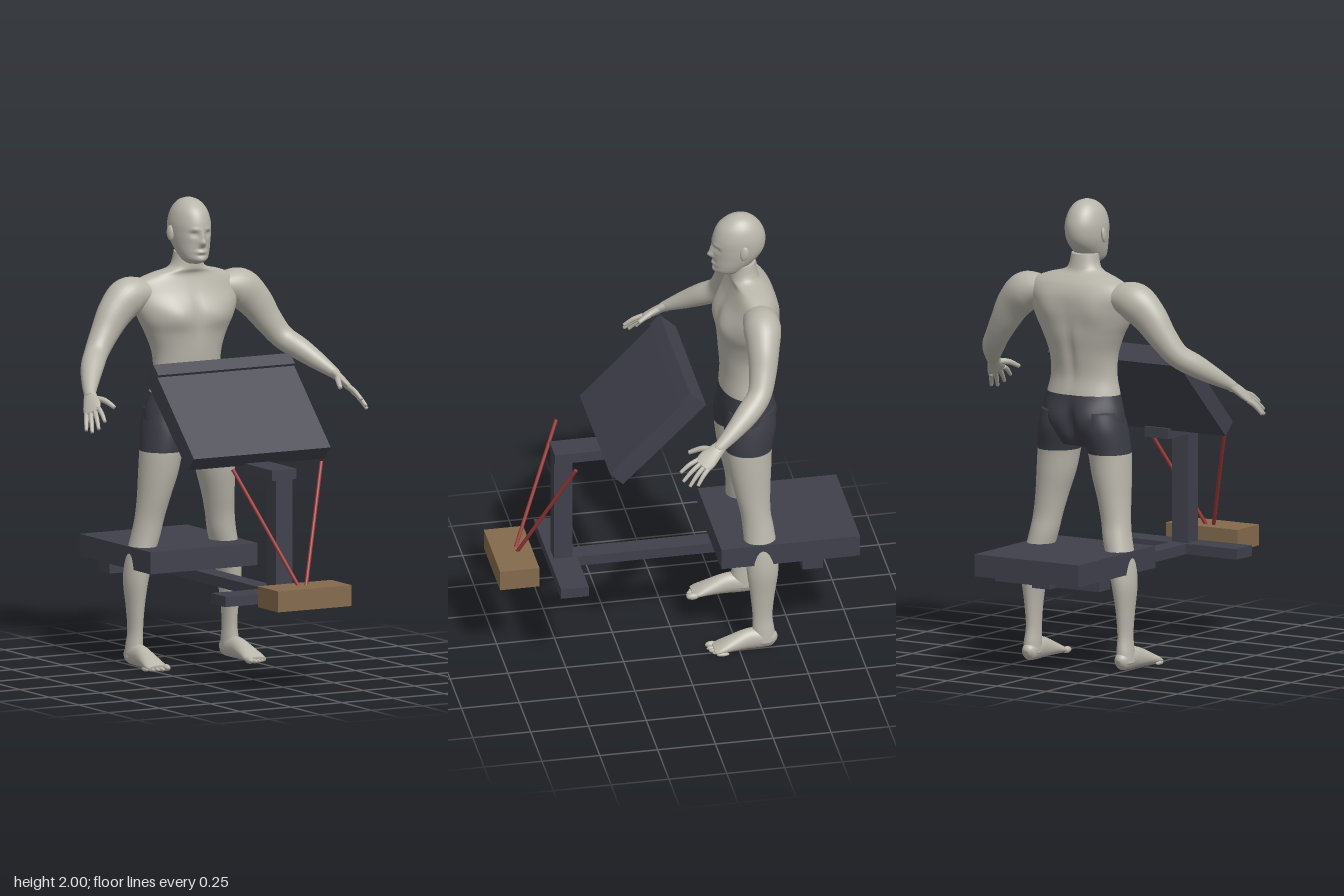
import * as THREE from 'three';

const mat = (name, color, extra = {}) => Object.assign(new THREE.MeshStandardMaterial({ color, ...extra }), { name });

// Smooth interpolation between the rows of a section table
function smoothRows(rows, sub) {
  const out = [];
  const at = (i) => rows[Math.min(Math.max(i, 0), rows.length - 1)];
  for (let i = 0; i < rows.length - 1; i++) {
    for (let k = 0; k < sub; k++) {
      const t = k / sub;
      out.push(rows[i].map((p1, c) => {
        const p0 = at(i - 1)[c], p2 = at(i + 1)[c], p3 = at(i + 2)[c];
        return p1 + 0.5 * t * (p2 - p0 + t * (2 * p0 - 5 * p1 + 4 * p2 - p3 + t * (3 * (p1 - p2) + p3 - p0)));
      }));
    }
  }
  out.push(rows[rows.length - 1]);
  return out;
}

// Skin through elliptical sections [x, y, z, radiusA, radiusB]; radiusA lies along ref.
// Bumps [x, y, widthX, widthY, depth, side] push the front (1) or back (-1) along z.
function loft(rows, { seg = 32, sub = 6, ref = [1, 0, 0], upright = false, bumps = [], inShorts } = {}) {
  const rings = smoothRows(rows, sub), pos = [], idx = [];
  const centre = rings.map((r) => new THREE.Vector3(r[0], r[1], r[2]));
  const refV = new THREE.Vector3(...ref), last = rings.length - 1;
  rings.forEach((r, i) => {
    const T = upright ? new THREE.Vector3(0, -1, 0)
      : centre[Math.min(i + 1, last)].clone().sub(centre[Math.max(i - 1, 0)]).normalize();
    const u = refV.clone().addScaledVector(T, -refV.dot(T)).normalize();
    const v = T.clone().cross(u);
    for (let j = 0; j < seg; j++) {
      const a = (j / seg) * Math.PI * 2;
      const p = centre[i].clone().addScaledVector(u, r[3] * Math.cos(a)).addScaledVector(v, r[4] * Math.sin(a));
      let push = 0;
      for (const [bx, by, sx, sy, d, side] of bumps) {
        const w = Math.max(0, side * Math.sin(a));
        push += side * d * Math.sqrt(w) * Math.exp(-(((p.x - bx) / sx) ** 2) - ((p.y - by) / sy) ** 2);
      }
      pos.push(p.x, Math.max(p.y, 0), p.z + push);
    }
  });
  const g = new THREE.BufferGeometry();
  const add = (m, ...ids) => {
    const group = g.groups[g.groups.length - 1];
    if (group && group.materialIndex === m) group.count += ids.length;
    else g.addGroup(idx.length, ids.length, m);
    idx.push(...ids);
  };
  const matOf = (i) => (inShorts && inShorts((centre[i].y + centre[i + 1].y) / 2) ? 1 : 0);
  const first = pos.length / 3;
  pos.push(...centre[0].toArray(), ...centre[last].toArray());
  for (let j = 0; j < seg; j++) add(matOf(0), first, (j + 1) % seg, j);
  for (let i = 0; i < last; i++) {
    for (let j = 0; j < seg; j++) {
      const a = i * seg + j, b = i * seg + (j + 1) % seg;
      add(matOf(i), a, b, a + seg, b, b + seg, a + seg);
    }
  }
  for (let j = 0; j < seg; j++) add(matOf(last - 1), first + 1, last * seg + j, last * seg + (j + 1) % seg);
  g.setAttribute('position', new THREE.Float32BufferAttribute(pos, 3));
  g.setIndex(idx);
  g.computeVertexNormals();
  return g;
}

export function createModel() {
  const model = new THREE.Group();
  const skin = mat('skin grey', 0xb8b5aa), shorts = mat('shorts charcoal', 0x3b3b45);
  const frame = mat('frame slate', 0x40404c), wood = mat('wood brown', 0x846a4c), red = mat('rod red', 0x9c3434);
  const add = (name, geo, material, parent = model) => {
    const m = new THREE.Mesh(geo, material);
    m.name = name;
    parent.add(m);
    return m;
  };
  const box = (name, x, y0, y1, z0, z1, material = frame) =>
    add(name, new THREE.BoxGeometry(2 * x, y1 - y0, z1 - z0), material).position.set(0, (y0 + y1) / 2, (z0 + z1) / 2);
  const inShorts = (y) => y > 0.92 && y < 1.17;
  const both = (list) => list.flatMap(([x, ...r]) => [[x, ...r], [-x, ...r]]);

  // Bench and stand
  box('seat', 0.263, 0.415, 0.51, -0.77, -0.17);
  box('baseBeam', 0.043, 0.37, 0.415, -0.66, 0.42);
  box('frontCrossbar', 0.3, 0.37, 0.415, 0.41, 0.53);
  box('rearCrossbar', 0.262, 0.372, 0.415, -0.61, -0.52);
  box('column', 0.04, 0.415, 0.89, 0.43, 0.51);
  box('topArm', 0.06, 0.89, 0.935, 0.245, 0.51);
  box('pedalBlock', 0.18, 0.37, 0.46, 0.6, 0.77, wood);

  // Slanted panel with a raised lip, profile drawn in (z, y) and extruded along x
  const profile = [[0.325, 0.98], [0.015, 1.29], [0.022, 1.3], [-0.02, 1.34], [-0.09, 1.275], [-0.05, 1.235], [0.27, 0.925]];
  const shape = new THREE.Shape(profile.map(([z, y]) => new THREE.Vector2(-z, y)));
  const panelGeo = new THREE.ExtrudeGeometry(shape, { depth: 0.67, bevelEnabled: false });
  panelGeo.translate(0, 0, -0.335).rotateY(Math.PI / 2);
  add('slantedPanel', panelGeo, frame);

  // Head with face relief
  add('head', loft([
    [0, 2, -0.3, 0.004, 0.005], [0, 1.985, -0.3, 0.042, 0.052], [0, 1.95, -0.297, 0.07, 0.091],
    [0, 1.9, -0.297, 0.084, 0.112], [0, 1.85, -0.295, 0.084, 0.113], [0, 1.81, -0.287, 0.078, 0.103],
    [0, 1.77, -0.268, 0.067, 0.083], [0, 1.74, -0.255, 0.052, 0.066], [0, 1.722, -0.26, 0.028, 0.04],
  ], {
    seg: 72, sub: 8, upright: true, bumps: [
      [0, 1.815, 0.013, 0.014, 0.02, 1], [0, 1.84, 0.009, 0.025, 0.012, 1], [0, 1.775, 0.022, 0.008, 0.007, 1],
      [0, 1.79, 0.025, 0.005, -0.003, 1], [0, 1.762, 0.02, 0.005, -0.004, 1], [0, 1.738, 0.025, 0.014, 0.006, 1],
      ...both([[0.034, 1.852, 0.015, 0.011, -0.012, 1], [0.032, 1.873, 0.02, 0.008, 0.005, 1], [0.034, 1.85, 0.01, 0.006, 0.005, 1]]),
    ],
  }), skin);

  // Neck, chest, waist and pelvis
  add('torso', loft([
    [0, 1.77, -0.31, 0.06, 0.055], [0, 1.72, -0.315, 0.07, 0.06], [0, 1.695, -0.32, 0.095, 0.064],
    [0, 1.675, -0.335, 0.17, 0.07], [0, 1.645, -0.345, 0.235, 0.087], [0, 1.6, -0.345, 0.255, 0.105],
    [0, 1.54, -0.332, 0.245, 0.12], [0, 1.48, -0.325, 0.222, 0.124], [0, 1.42, -0.325, 0.19, 0.12],
    [0, 1.34, -0.32, 0.16, 0.11], [0, 1.25, -0.317, 0.155, 0.1], [0, 1.17, -0.32, 0.172, 0.107],
    [0, 1.08, -0.323, 0.195, 0.114], [0, 1, -0.32, 0.19, 0.104], [0, 0.95, -0.32, 0.13, 0.08],
  ], {
    seg: 64, upright: true, inShorts, bumps: [
      [0, 1.5, 0.018, 0.09, -0.01, 1], [0, 1.36, 0.02, 0.14, -0.012, -1], [0, 1.05, 0.022, 0.07, -0.03, -1],
      ...both([[0.1, 1.5, 0.065, 0.055, 0.016, 1], [0.12, 1.54, 0.06, 0.07, 0.014, -1], [0.085, 1.06, 0.07, 0.07, 0.02, -1]]),
    ],
  }), [skin, shorts]);

  for (const s of [1, -1]) {
    const side = s > 0 ? 'left' : 'right';
    const mirror = (rows) => rows.map(([x, ...r]) => [s * x, ...r]);
    const at = (x, y, z) => new THREE.Vector3(s * x, y, z);

    const ear = add(side + 'Ear', new THREE.SphereGeometry(1, 16, 12), skin);
    ear.scale.set(0.01, 0.033, 0.019);
    ear.position.copy(at(0.088, 1.85, -0.303));
    ear.rotation.set(-0.15, s * -0.35, 0);

    // Leg, dark above the hem
    add(side + 'Leg', loft(mirror([
      [0.1, 1.1, -0.33, 0.085, 0.1], [0.108, 1.02, -0.325, 0.096, 0.112], [0.127, 0.92, -0.315, 0.09, 0.1],
      [0.14, 0.82, -0.318, 0.083, 0.09], [0.157, 0.72, -0.325, 0.07, 0.076], [0.172, 0.63, -0.335, 0.063, 0.065],
      [0.187, 0.55, -0.345, 0.061, 0.067], [0.213, 0.45, -0.352, 0.056, 0.07], [0.228, 0.36, -0.355, 0.049, 0.067],
      [0.231, 0.25, -0.354, 0.036, 0.052], [0.231, 0.15, -0.354, 0.03, 0.043], [0.234, 0.08, -0.357, 0.035, 0.048],
      [0.236, 0.03, -0.358, 0.038, 0.05],
    ]), { upright: true, inShorts }), [skin, shorts]);

    // Foot and toes
    add(side + 'Foot', loft(mirror([
      [0.232, 0.032, -0.412, 0.012, 0.015], [0.233, 0.038, -0.395, 0.03, 0.036], [0.235, 0.046, -0.35, 0.037, 0.046],
      [0.237, 0.046, -0.29, 0.037, 0.046], [0.24, 0.033, -0.22, 0.044, 0.033], [0.242, 0.02, -0.165, 0.05, 0.02],
      [0.242, 0.014, -0.14, 0.044, 0.013],
    ])), skin);
    for (let i = 0; i < 5; i++) {
      const toe = add(side + 'Toe' + (i + 1), new THREE.SphereGeometry(1, 12, 8), skin);
      const r = i ? 0.0105 - i * 0.0005 : 0.015;
      toe.scale.set(r, r, 0.028);
      toe.position.copy(at(0.204 + i * 0.02 + (i ? 0.003 : 0), r, -0.138 - i * i * 0.0022));
    }

    // Arm from shoulder to wrist
    add(side + 'Arm', loft(mirror([
      [0.18, 1.6, -0.345, 0.065, 0.055], [0.27, 1.585, -0.345, 0.08, 0.084], [0.34, 1.525, -0.336, 0.069, 0.077],
      [0.4, 1.44, -0.322, 0.058, 0.062], [0.455, 1.365, -0.295, 0.051, 0.052], [0.51, 1.315, -0.235, 0.05, 0.048],
      [0.56, 1.265, -0.165, 0.038, 0.037], [0.597, 1.225, -0.105, 0.027, 0.024], [0.605, 1.212, -0.09, 0.027, 0.02],
    ]), { ref: [0, 0, 1] }), skin);

    // Palm, fingers and thumb
    const across = [s * 0.62, -0.45, -0.64];
    add(side + 'Palm', loft(mirror([
      [0.594, 1.23, -0.112, 0.025, 0.02], [0.61, 1.204, -0.075, 0.034, 0.018],
      [0.624, 1.178, -0.04, 0.042, 0.015], [0.637, 1.156, -0.012, 0.038, 0.01],
    ]), { ref: across, seg: 24 }), skin);
    const finger = (name, a, b, c, r) => add(side + name, loft(mirror(
      [[...a, r], [...b, r * 0.95], [...c, r * 0.7]].map((p) => [...p, p[3]])), { seg: 12, ref: across }), skin);
    [[0.628, 1.13, 0.078], [0.655, 1.1, 0.072], [0.673, 1.083, 0.047], [0.683, 1.088, 0.014]].forEach((tip, i) => {
      const k = (i - 1.5) * 0.02;
      const base = [0.632 + 0.62 * k, 1.163 - 0.45 * k, -0.02 - 0.64 * k];
      const mid = base.map((v, c) => (v + tip[c]) / 2 + (c === 1 ? 0.006 : 0));
      finger('Finger' + (i + 1), base, mid, tip, 0.0105);
    });
    finger('Thumb', [0.602, 1.21, -0.075], [0.573, 1.205, -0.025], [0.553, 1.18, 0.028], 0.013);

    // Pull rod from the block up to its handle end
    const a = at(0.018, 0.455, 0.665), b = at(0.217, 0.945, 0.45);
    const rod = add(side + 'Rod', new THREE.CylinderGeometry(0.008, 0.008, a.distanceTo(b), 12), red);
    rod.position.copy(a).add(b).multiplyScalar(0.5);
    rod.quaternion.setFromUnitVectors(new THREE.Vector3(0, 1, 0), b.sub(a).normalize());
  }
  return model;
}
